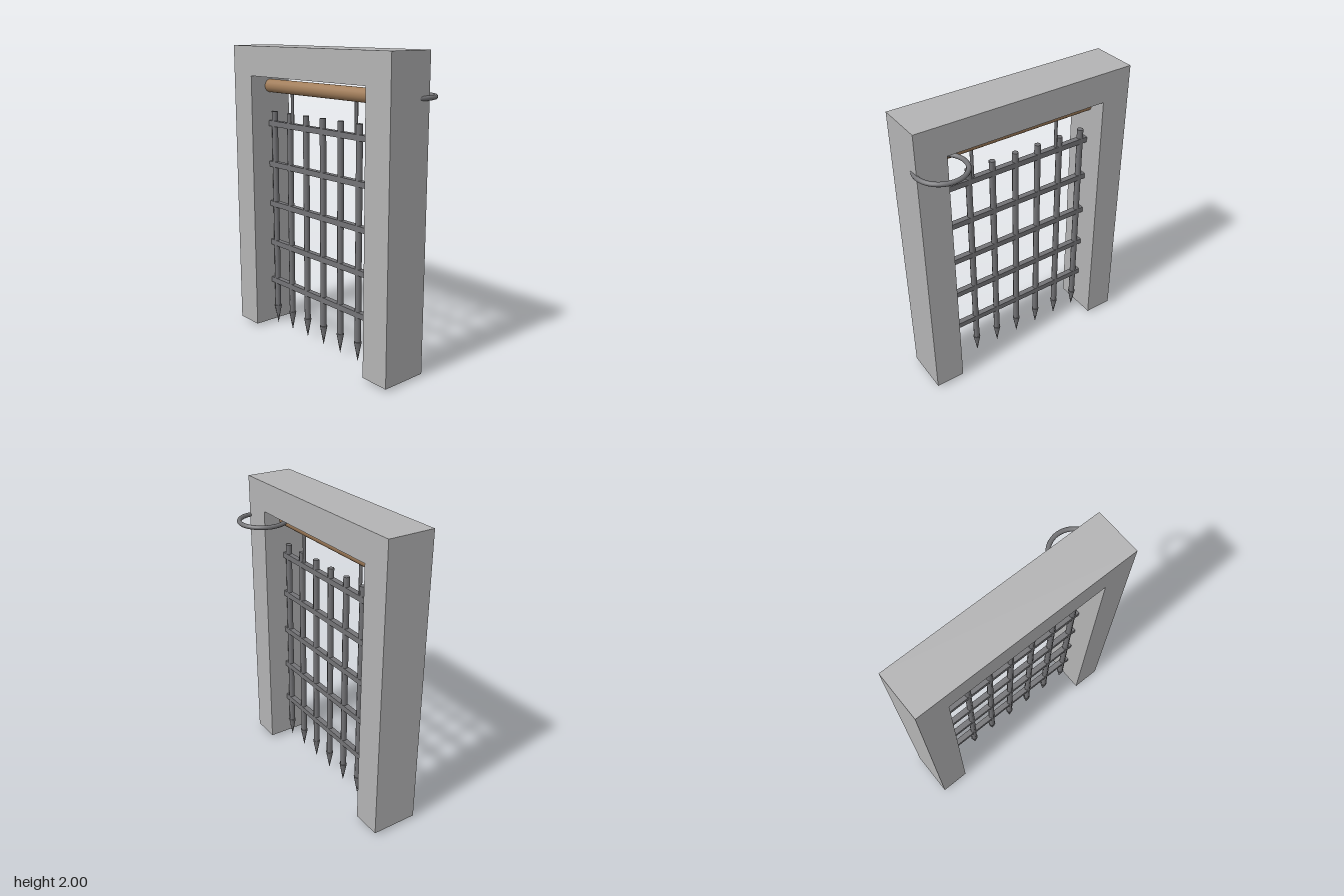
import * as THREE from 'three';

const CX = -0.009; // centre line of the gateway
const GZ = 0.081;  // plane of the grille

const stone = new THREE.MeshStandardMaterial({ color: 0xb3b3b4 });
const iron = new THREE.MeshStandardMaterial({ color: 0x737376 });
const wood = new THREE.MeshStandardMaterial({ color: 0xa27e5b });

function add(parent, name, geometry, material, x, y, z) {
  const mesh = new THREE.Mesh(geometry, material);
  mesh.name = name;
  mesh.position.set(x, y, z);
  parent.add(mesh);
  return mesh;
}

export function createModel() {
  const model = new THREE.Group();
  model.name = 'portcullisGate';

  // Stone frame: one arch-shaped outline pushed through the wall depth
  const outline = new THREE.Shape([
    [-0.766, 0.018], [-0.568, 0.018], [-0.568, 1.802], [0.548, 1.802],
    [0.548, 0.018], [0.748, 0.018], [0.748, 2], [-0.766, 2],
  ].map(([x, y]) => new THREE.Vector2(x, y)));
  const frame = new THREE.ExtrudeGeometry(outline, { depth: 0.314, bevelEnabled: false });
  add(model, 'stoneFrame', frame, stone, 0, 0, -0.076);

  // Grille of pointed uprights and flat crossbars
  const grille = new THREE.Group();
  grille.name = 'grille';
  model.add(grille);
  const upright = new THREE.CylinderGeometry(0.021, 0.021, 1.416, 8);
  const spike = new THREE.ConeGeometry(0.026, 0.14, 8).rotateX(Math.PI);
  for (let i = -3; i <= 3; i++) {
    const x = CX + i * 0.1713;
    add(grille, 'upright', upright, iron, x, 0.848, GZ);
    add(grille, 'spike', spike, iron, x, 0.07, GZ);
  }
  const crossbar = new THREE.BoxGeometry(1.118, 0.038, 0.038);
  for (let i = 0; i < 5; i++) {
    add(grille, 'crossbar', crossbar, iron, CX, 0.33 + i * 0.2855, GZ);
  }

  // Winding roller and its two hanging rods
  const roller = new THREE.CylinderGeometry(0.045, 0.045, 1.118, 24).rotateZ(Math.PI / 2);
  add(model, 'roller', roller, wood, CX, 1.73, GZ);
  const rod = new THREE.CylinderGeometry(0.011, 0.011, 0.25, 8);
  for (const side of [-1, 1]) add(model, 'hangingRod', rod, iron, CX + side * 0.314, 1.601, GZ);

  // Iron ring let into the back of one post
  const ring = new THREE.TorusGeometry(0.157, 0.015, 12, 48).rotateX(Math.PI / 2);
  add(model, 'ring', ring, iron, 0.591, 1.73, -0.067);

  return model;
}
